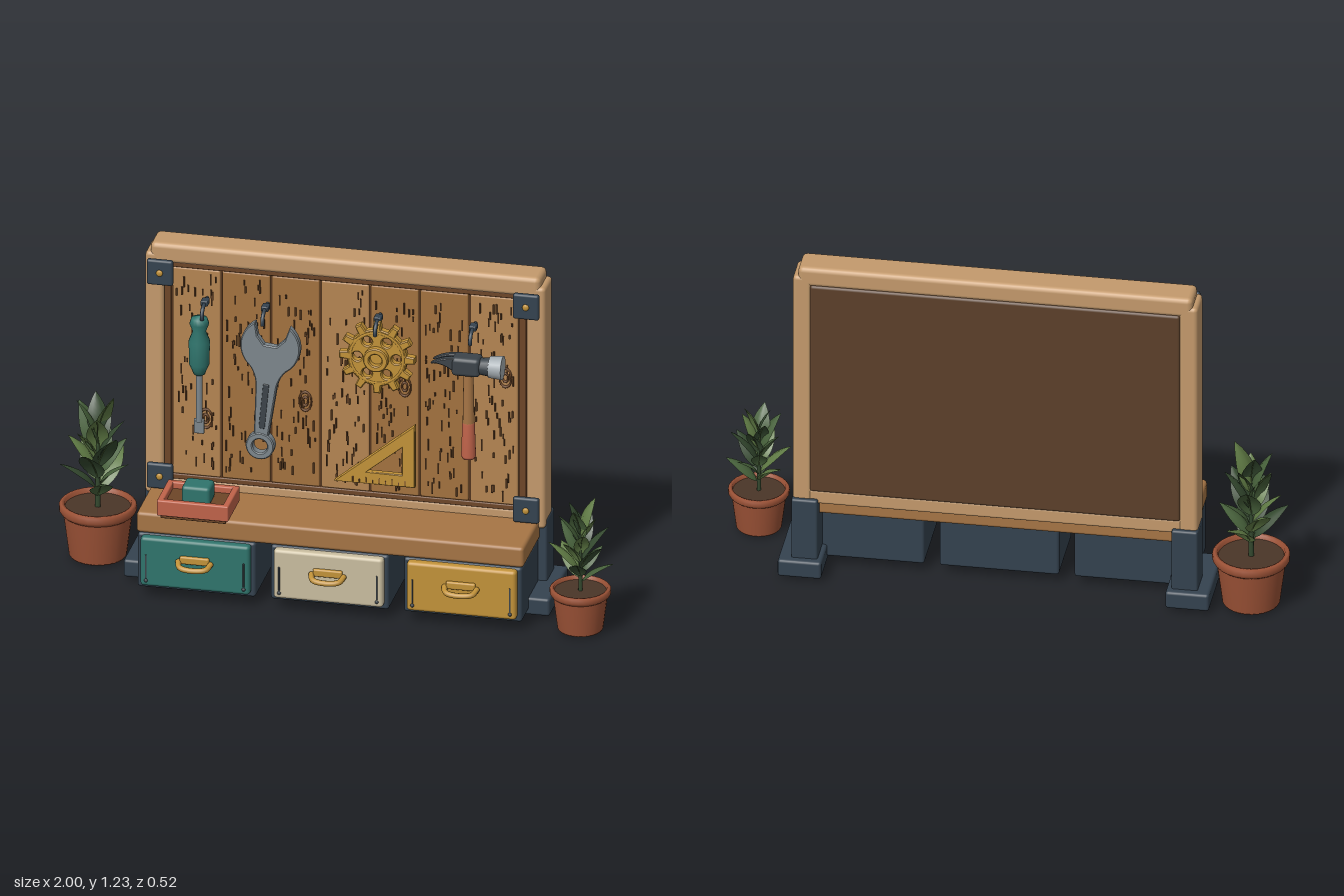
import * as THREE from 'three';
import { RoundedBoxGeometry } from 'three/addons/geometries/RoundedBoxGeometry.js';
import { mergeGeometries } from 'three/addons/utils/BufferGeometryUtils.js';

const C = {
  wood: 0xc49a6c, plankA: 0xb58552, plankB: 0xa3723f, shelf: 0xa67545, trim: 0x6e4628, back: 0x5c402a,
  navy: 0x34424f, teal: 0x2f746c, cream: 0xc9bd9f, gold: 0xc29238, red: 0xc0634a, clay: 0x9c5236,
  steel: 0x7d878d, pale: 0xa3abb0, dark: 0x3c444a, grain: 0x5a3a20, soil: 0x4a3628,
  leafA: 0x46603a, leafB: 0x5f7a44, leafC: 0x34492f,
};
const mats = {};
const mat = (c) => (mats[c] ??= new THREE.MeshStandardMaterial({ color: C[c], side: c.startsWith('leaf') ? THREE.DoubleSide : THREE.FrontSide }));

function add(parent, name, geo, color, x = 0, y = 0, z = 0) {
  const m = new THREE.Mesh(geo, mat(color));
  m.name = name;
  m.position.set(x, y, z);
  parent.add(m);
  return m;
}
// Rounded box given by its min and max on each axis
function block(parent, name, color, [x0, x1], [y0, y1], [z0, z1], r = 0.01) {
  const s = [x1 - x0, y1 - y0, z1 - z0];
  const geo = new RoundedBoxGeometry(...s, 2, Math.min(r, Math.min(...s) * 0.45));
  return add(parent, name, geo, color, (x0 + x1) / 2, (y0 + y1) / 2, (z0 + z1) / 2);
}
// Bevelled extrusion centred on z
function extrude(shape, depth, bevel = 0.004) {
  const g = new THREE.ExtrudeGeometry(shape, {
    depth: depth - 2 * bevel, bevelThickness: bevel, bevelSize: bevel, bevelOffset: -bevel, bevelSegments: 1, curveSegments: 16,
  });
  return g.translate(0, 0, bevel - depth / 2);
}
const lathe = (pts, n = 24) => new THREE.LatheGeometry(pts.map((p) => new THREE.Vector2(...p)), n);
const group = (parent, name, x = 0, y = 0, z = 0) => {
  const g = new THREE.Group();
  g.name = name;
  g.position.set(x, y, z);
  parent.add(g);
  return g;
};
const circleHole = (x, y, r) => new THREE.Path().absarc(x, y, r, 0, Math.PI * 2, true);

let seed = 7;
const rand = () => (seed = (seed * 16807) % 2147483647) / 2147483647;

// Frame, planks, grain and corner plates
function buildBoard(root) {
  const g = group(root, 'board');
  block(g, 'topRail', 'wood', [-0.687, 0.687], [1.15, 1.225], [-0.19, -0.073], 0.018);
  block(g, 'bottomRail', 'wood', [-0.65, 0.65], [0.29, 0.345], [-0.188, -0.075]);
  block(g, 'backPanel', 'back', [-0.645, 0.645], [0.34, 1.158], [-0.194, -0.12], 0.01);
  block(g, 'innerTrim', 'trim', [-0.645, 0.645], [0.33, 1.16], [-0.14, -0.085]);
  for (const s of [-1, 1]) {
    block(g, 'sideStile', 'wood', [s * 0.672 - 0.033, s * 0.672 + 0.033], [0.28, 1.19], [-0.19, -0.073], 0.014);
    block(g, 'trimStrip', 'trim', [s * 0.625 - 0.012, s * 0.625 + 0.012], [0.34, 1.16], [-0.12, -0.076], 0.004);
    block(g, 'trimStrip', 'trim', [-0.635, 0.635], [0.75 + s * 0.4 - 0.01, 0.75 + s * 0.4 + 0.01], [-0.12, -0.076], 0.004);
    for (const y of [0.362, 1.13]) {
      block(g, 'cornerPlate', 'navy', [s * 0.645 - 0.046, s * 0.645 + 0.046], [y - 0.047, y + 0.047], [-0.056, -0.035], 0.008);
      add(g, 'plateScrew', new THREE.SphereGeometry(0.012, 12, 8).scale(1, 1, 0.5), 'gold', s * 0.645, y, -0.035);
    }
  }
  const strokes = [];
  for (let i = 0; i < 7; i++) {
    const x = (i - 3) * 0.1746;
    block(g, 'plank', i % 3 ? 'plankB' : 'plankA', [x - 0.0845, x + 0.0845], [0.36, 1.14], [-0.12, -0.077], 0.006);
    for (let k = 0; k < 58; k++) {
      const len = 0.012 + rand() * 0.03;
      strokes.push(new THREE.BoxGeometry(0.005, len, 0.006)
        .translate(x + (rand() - 0.5) * 0.14, 0.39 + rand() * 0.72, -0.075));
    }
  }
  add(g, 'woodGrain', mergeGeometries(strokes), 'grain');
  for (const [x, y] of [[-0.49, 0.58], [-0.14, 0.68], [0.21, 0.77], [0.565, 0.84]])
    for (const r of [0.012, 0.027])
      add(g, 'woodKnot', new THREE.TorusGeometry(r, 0.004, 6, 16).scale(0.8, 1.3, 1), 'trim', x, y, -0.075);
}

// Shelf, feet and drawers
function buildBase(root) {
  const g = group(root, 'base');
  block(g, 'shelf', 'shelf', [-0.682, 0.682], [0.236, 0.312], [-0.16, 0.162], 0.012);
  for (const s of [-1, 1]) {
    block(g, 'post', 'navy', [s * 0.662 - 0.046, s * 0.662 + 0.046], [0.01, 0.31], [-0.205, -0.09], 0.008);
    block(g, 'foot', 'navy', [s * 0.675 - 0.076, s * 0.675 + 0.076], [0.015, 0.08], [-0.232, 0.06], 0.01);
    block(g, 'footPad', 'dark', [s * 0.675 - 0.035, s * 0.675 + 0.035], [0, 0.03], [-0.2, -0.09], 0.005);
  }
  ['teal', 'cream', 'gold'].forEach((color, i) => {
    const d = group(g, 'drawer', (i - 1) * 0.469);
    block(d, 'drawerCase', 'navy', [-0.208, 0.208], [0.033, 0.237], [-0.1, 0.165], 0.01);
    block(d, 'drawerFront', color, [-0.193, 0.193], [0.05, 0.233], [0.155, 0.193], 0.012);
    for (const s of [-1, 1]) {
      block(d, 'sideSlot', 'dark', [s * 0.172 - 0.003, s * 0.172 + 0.003], [0.08, 0.17], [0.188, 0.195], 0.002);
      add(d, 'pin', new THREE.SphereGeometry(0.007, 10, 6), 'dark', s * 0.172, 0.072, 0.192);
    }
    block(d, 'pullPlate', 'gold', [-0.052, 0.052], [0.15, 0.178], [0.188, 0.204], 0.006);
    const path = new THREE.CatmullRomCurve3([[-0.058, 0.158, 0.195], [-0.046, 0.148, 0.227], [0, 0.144, 0.236], [0.046, 0.148, 0.227], [0.058, 0.158, 0.195]]
      .map((p) => new THREE.Vector3(...p)));
    add(d, 'pull', new THREE.TubeGeometry(path, 20, 0.01, 8), 'gold');
  });
  // Open tray with a small block in it
  const t = group(root, 'tray', -0.475, 0, 0.113);
  block(t, 'trayFloor', 'trim', [-0.115, 0.115], [0.312, 0.36], [-0.08, 0.08], 0.004);
  for (const s of [-1, 1]) {
    block(t, 'traySide', 'red', [s * 0.115 - 0.011, s * 0.115 + 0.011], [0.325, 0.383], [-0.09, 0.09], 0.005);
    block(t, 'trayEnd', 'red', [-0.126, 0.126], [0.325, 0.383], [s * 0.08 - 0.011, s * 0.08 + 0.011], 0.005);
  }
  block(t, 'trayBlock', 'teal', [-0.05, 0.05], [0.355, 0.422], [-0.042, 0.042], 0.012);
}

function buildTools(root) {
  const g = group(root, 'tools');
  for (const x of [-0.485, -0.272, 0.125, 0.46]) {
    const path = new THREE.CatmullRomCurve3([[-0.075, 1.035], [-0.03, 1.035], [0, 1.025], [0.012, 1.003], [0.01, 0.99]]
      .map(([z, y]) => new THREE.Vector3(x, y, z)));
    add(g, 'hook', new THREE.TubeGeometry(path, 16, 0.007, 8), 'navy');
    block(g, 'hookPlate', 'navy', [x - 0.013, x + 0.013], [1.026, 1.046], [-0.058, -0.022], 0.004);
  }
  // Screwdriver
  const sd = group(g, 'screwdriver', -0.5, 0, -0.015);
  add(sd, 'screwdriverHandle', lathe([[0, 0.775], [0.02, 0.775], [0.025, 0.79], [0.036, 0.815], [0.037, 0.9], [0.023, 0.935], [0.034, 0.965], [0.028, 0.985], [0, 0.995]], 16), 'teal');
  add(sd, 'screwdriverShaft', new THREE.CylinderGeometry(0.012, 0.012, 0.19, 12), 'steel', 0, 0.69);
  block(sd, 'screwdriverTip', 'steel', [-0.018, 0.018], [0.55, 0.605], [-0.006, 0.006], 0.004);

  // Wrench
  const w = group(g, 'wrench', -0.25, 0.9, -0.025);
  w.rotation.z = -0.095;
  const jaw = new THREE.Shape();
  jaw.moveTo(-0.025, -0.345).lineTo(0.025, -0.345).lineTo(0.037, -0.15);
  jaw.quadraticCurveTo(0.042, -0.11, 0.065, -0.083);
  jaw.absarc(0, 0, 0.105, -0.9, 0.95, false);
  jaw.lineTo(0.048, 0.035).lineTo(0.022, 0.005).lineTo(-0.022, 0.005).lineTo(-0.048, 0.035);
  jaw.absarc(0, 0, 0.105, Math.PI - 0.95, Math.PI + 0.9, false);
  jaw.quadraticCurveTo(-0.042, -0.11, -0.037, -0.15);
  add(w, 'wrenchBody', extrude(jaw, 0.03), 'steel');
  const ring = new THREE.Shape().absarc(0, -0.377, 0.05, 0, Math.PI * 2);
  ring.holes.push(circleHole(0, -0.377, 0.026));
  add(w, 'wrenchRing', extrude(ring, 0.036), 'steel');
  block(w, 'wrenchInset', 'dark', [-0.011, 0.011], [-0.31, -0.14], [-0.017, 0.017], 0.004);

  // Gear
  const gear = new THREE.Shape();
  const N = 12;
  for (let i = 0; i < N; i++)
    [[-0.27, 0.106], [-0.17, 0.134], [0.17, 0.134], [0.27, 0.106]].forEach(([o, r], k) => {
      const a = ((i + o) / N) * Math.PI * 2;
      gear[i + k ? 'lineTo' : 'moveTo'](r * Math.cos(a), r * Math.sin(a));
    });
  for (let i = 0; i < 6; i++) {
    const a = (i / 6) * Math.PI * 2;
    gear.holes.push(circleHole(0.069 * Math.cos(a), 0.069 * Math.sin(a), 0.017));
  }
  const gg = group(g, 'gear', 0.127, 0.9, -0.022);
  add(gg, 'gearWheel', extrude(gear, 0.032), 'gold');
  add(gg, 'gearRim', new THREE.TorusGeometry(0.094, 0.009, 8, 32).scale(1, 1, 2.2), 'gold');
  const hub = new THREE.Shape().absarc(0, 0, 0.044, 0, Math.PI * 2);
  hub.holes.push(circleHole(0, 0, 0.022));
  add(gg, 'gearHub', extrude(hub, 0.08), 'gold');

  // Set square
  const tri = new THREE.Shape().moveTo(-0.025, 0.42).lineTo(0.26, 0.42).lineTo(0.26, 0.655);
  tri.holes.push(new THREE.Path().moveTo(0.09, 0.465).lineTo(0.215, 0.568).lineTo(0.215, 0.465));
  add(g, 'setSquare', extrude(tri, 0.025, 0.003), 'gold', 0, 0, -0.022);
  for (let i = 0; i < 9; i++) block(g, 'setSquareMark', 'trim', [0.04 + i * 0.023, 0.044 + i * 0.023], [0.425, i % 2 ? 0.437 : 0.445], [-0.012, -0.0085], 0.001);

  // Hammer
  const h = group(g, 'hammer', 0.452, 0.91, 0);
  add(h, 'hammerHandle', new THREE.CylinderGeometry(0.017, 0.021, 0.24, 12), 'shelf', 0, -0.11);
  add(h, 'hammerGrip', lathe([[0, -0.35], [0.022, -0.35], [0.026, -0.34], [0.022, -0.22], [0.018, -0.21], [0, -0.21]], 16), 'red');
  block(h, 'hammerHead', 'dark', [-0.055, 0.045], [-0.033, 0.035], [-0.034, 0.034], 0.014);
  add(h, 'hammerNeck', new THREE.CylinderGeometry(0.034, 0.028, 0.05, 16).rotateZ(-Math.PI / 2), 'dark', 0.055);
  add(h, 'hammerFace', new THREE.CylinderGeometry(0.042, 0.038, 0.046, 20).rotateZ(-Math.PI / 2), 'pale', 0.098);
  const claw = new THREE.Shape().moveTo(-0.04, 0.032).quadraticCurveTo(-0.09, 0.032, -0.128, 0.006);
  claw.quadraticCurveTo(-0.08, 0.012, -0.04, -0.025);
  for (const s of [-1, 1]) add(h, 'hammerClaw', extrude(claw, 0.024, 0.003), 'dark', 0, 0, s * 0.018);
}

// Pointed leaf, folded along its middle and bending outwards (+z)
function leafGeometry() {
  const geo = new THREE.PlaneGeometry(1, 1, 4, 8);
  const p = geo.attributes.position;
  for (let i = 0; i < p.count; i++) {
    const t = p.getY(i) + 0.5, u = p.getX(i) * 2;
    const w = 0.043 * Math.pow(Math.sin(Math.PI * Math.pow(t, 0.85)), 0.9) + 0.002;
    p.setXYZ(i, u * w, t * 0.19, 0.045 * t * t - 0.35 * w * (1 - Math.abs(u)));
  }
  geo.computeVertexNormals();
  return geo;
}

function buildPlant(root, x, z, scale, turn) {
  const g = group(root, 'pottedPlant', x, 0.008 * 1, z);
  g.scale.setScalar(scale);
  g.rotation.y = turn;
  add(g, 'pot', lathe([[0, 0], [0.096, 0], [0.1, 0.006], [0.119, 0.155], [0.119, 0.155], [0.128, 0.162], [0.134, 0.172], [0.134, 0.19], [0.127, 0.197], [0.116, 0.195], [0.112, 0.17]], 28), 'clay');
  add(g, 'soil', new THREE.CylinderGeometry(0.114, 0.11, 0.01, 24), 'soil', 0, 0.176);
  add(g, 'stem', new THREE.CylinderGeometry(0.006, 0.01, 0.3, 8), 'leafC', 0, 0.32);
  const geo = leafGeometry();
  const count = 18;
  for (let i = 0; i < count; i++) {
    const t = i / (count - 1);
    const leaf = add(g, 'leaf', geo, ['leafA', 'leafB', 'leafC'][i % 3], 0, 0.215 + 0.215 * t, 0);
    leaf.rotation.set(0.72 - 0.62 * t, i * 2.4, 0, 'YXZ');
    leaf.scale.setScalar(0.88 + 0.12 * Math.sin(i * 1.7));
    leaf.translateY(0.012);
    const rib = new THREE.QuadraticBezierCurve3(new THREE.Vector3(0, -0.02, -0.001), new THREE.Vector3(0, 0.09, -0.018), new THREE.Vector3(0, 0.18, 0.04));
    add(leaf, 'leafRib', new THREE.TubeGeometry(rib, 6, 0.0022, 5), 'leafB');
  }
}

export function createModel() {
  const root = new THREE.Group();
  root.name = 'toolWall';
  const bench = group(root, 'bench', 0.015);
  buildBoard(bench);
  buildBase(bench);
  buildTools(bench);
  buildPlant(root, -0.866, -0.12, 1, 0.4);
  buildPlant(root, 0.886, 0.11, 0.79, 1.5);
  return root;
}
